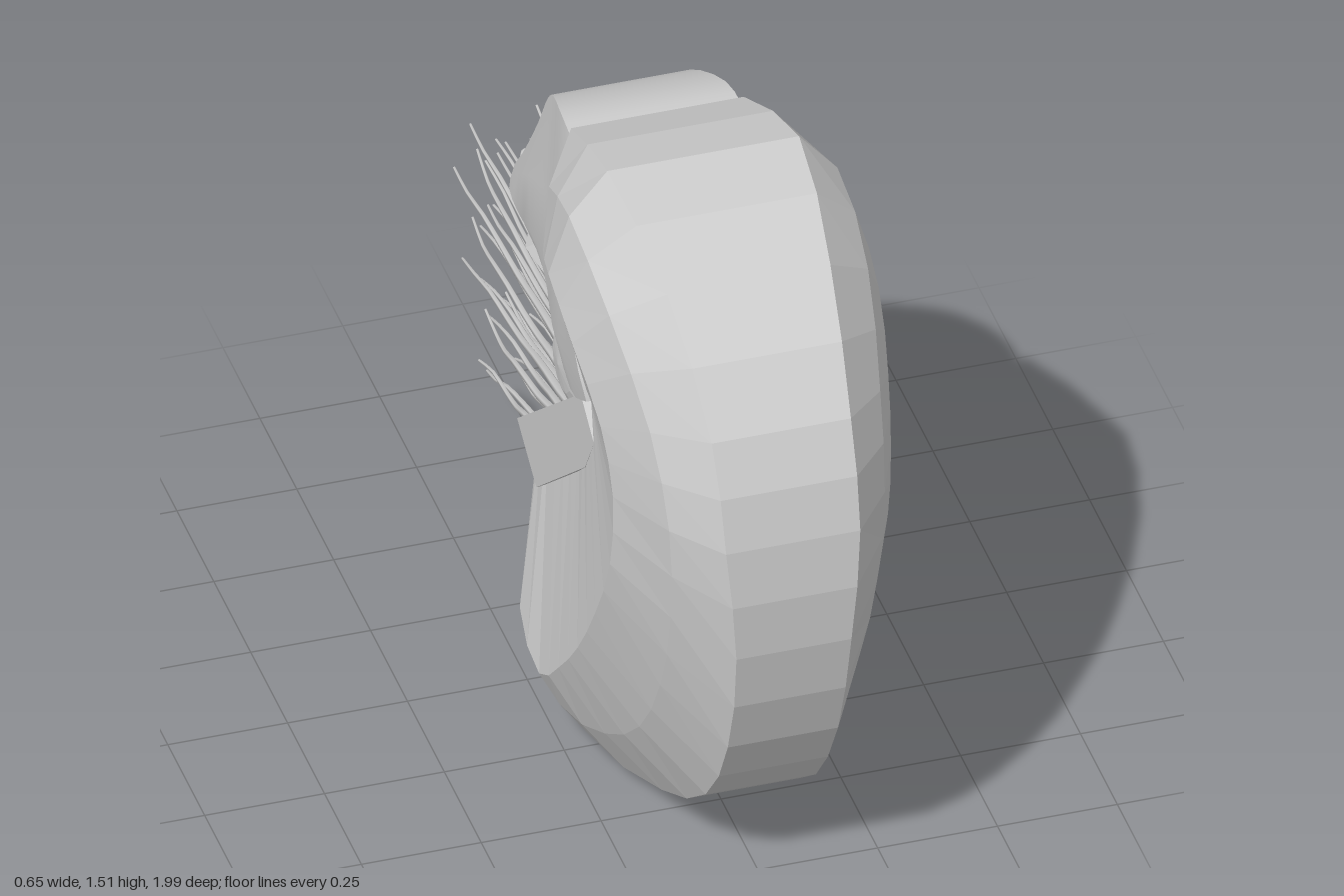
import * as THREE from 'three';
import { toCreasedNormals } from 'three/addons/utils/BufferGeometryUtils.js';
import { ConvexGeometry } from 'three/addons/geometries/ConvexGeometry.js';

const clay = new THREE.MeshStandardMaterial({ color: 0xcccccc, side: THREE.DoubleSide });
clay.name = 'paleGrey';

function add(group, name, geometry) {
  const mesh = new THREE.Mesh(geometry, clay);
  mesh.name = name;
  group.add(mesh);
  return mesh;
}

const flat = (g) => {
  const out = g.index ? g.toNonIndexed() : g;
  out.computeVertexNormals();
  return out;
};

const hull = (points) => flat(new ConvexGeometry(points.map((p) => new THREE.Vector3(...p))));

// Rows of [x, y, z] control points become a curve; uniform t keeps rows aligned
const sampleRow = (row, n) => {
  const curve = new THREE.CatmullRomCurve3(row.map((p) => new THREE.Vector3(...p)));
  return Array.from({ length: n + 1 }, (_, i) => curve.getPoint(i / n));
};

// Closed loft through rings of equal length, with both ends capped
function loft(rings) {
  const m = rings[0].length, last = rings.length - 1, index = [];
  for (let i = 0; i < last; i++) {
    for (let j = 0; j < m; j++) {
      const a = i * m + j, b = i * m + ((j + 1) % m);
      index.push(a, b, a + m, b, b + m, a + m);
    }
  }
  for (let k = 1; k < m - 1; k++) {
    index.push(0, k + 1, k, last * m, last * m + k, last * m + k + 1);
  }
  const g = new THREE.BufferGeometry().setFromPoints(rings.flat());
  g.setIndex(index);
  return g;
}

// Rings from +x rows, mirrored to -x
function mirroredRings(rows, n) {
  const lines = rows.map((r) => sampleRow(r, n));
  return lines[0].map((_, i) => {
    const half = lines.map((l) => l[i]);
    const other = half.map((p) => new THREE.Vector3(-p.x, p.y, p.z)).reverse();
    return [...half, ...other];
  });
}

// Coiled shell, from the upper lip round the front to the lower lip
function makeShell() {
  const inner = [[.25, 1.03, .38], [.25, 1.02, .39], [.25, 1.0, .4], [.24, .97, .4], [.23, .94, .37], [.21, .9, .31],
    [.2, .85, .24], [.19, .77, .16], [.19, .69, .06], [.19, .61, -.05], [.18, .53, -.14], [.13, .42, -.2]];
  const shoulder = [[.27, 1.18, .17], [.32, 1.28, .37], [.32, 1.22, .53], [.3, 1.1, .66], [.29, .96, .71], [.29, .78, .69],
    [.29, .59, .59], [.29, .42, .47], [.29, .28, .34], [.29, .175, .21], [.275, .21, .03], [.15, .26, -.21]];
  const bevel = [[.24, 1.3, .115], [.28, 1.42, .38], [.27, 1.34, .62], [.24, 1.17, .8], [.225, .98, .88], [.215, .75, .86],
    [.21, .52, .77], [.21, .32, .63], [.22, .165, .43], [.245, .085, .205], [.23, .12, -.03], [.13, .21, -.265]];
  const rim = [[.18, 1.4, .07], [.2, 1.515, .38], [.17, 1.42, .69], [.145, 1.2, .91], [.14, .98, .99], [.12, .72, .995],
    [.115, .45, .92], [.115, .23, .77], [.13, .07, .52], [.19, .005, .2], [.17, .045, -.1], [.11, .17, -.32]];
  return flat(loft(mirroredRings([inner, shoulder, bevel, rim], 22)));
}

function makeHood() {
  const bottom = [[.25, .97, .4], [.24, .9, .27], [.22, .91, .1], [.2, .95, -.03], [.17, .92, -.2], [.1, .82, -.5], [.03, .715, -.73]];
  const lower = [[.26, 1.03, .38], [.25, .99, .18], [.22, 1.0, .03], [.2, 1.0, -.1], [.18, .94, -.28], [.125, .83, -.53], [.04, .72, -.735]];
  const upper = [[.25, 1.18, .2], [.21, 1.17, .05], [.19, 1.15, -.06], [.18, 1.1, -.18], [.16, 1.0, -.34], [.105, .85, -.56], [.04, .73, -.74]];
  const crown = [[.18, 1.37, .1], [.175, 1.375, -.01], [.15, 1.32, -.15], [.13, 1.24, -.25], [.1, 1.08, -.4], [.06, .88, -.59], [.025, .74, -.74]];
  const rings = mirroredRings([bottom, lower, upper, crown], 16).reverse();
  return toCreasedNormals(loft(rings), 0.7);
}

// Tube that thins toward its tip
function taperedTube(points, radius) {
  const curve = new THREE.CatmullRomCurve3(points);
  const segments = 18, sides = 5;
  const g = new THREE.TubeGeometry(curve, segments, radius, sides);
  const pos = g.attributes.position, v = new THREE.Vector3();
  for (let i = 0; i <= segments; i++) {
    const c = curve.getPointAt(i / segments);
    for (let j = 0; j <= sides; j++) {
      const k = i * (sides + 1) + j;
      v.fromBufferAttribute(pos, k).lerp(c, 0.75 * i / segments);
      pos.setXYZ(k, v.x, v.y, v.z);
    }
  }
  return g;
}

export function createModel() {
  const model = new THREE.Group();
  model.name = 'shelledSeaCreature';

  add(model, 'shell', makeShell());
  add(model, 'hood', makeHood());

  // Small nub at the hood's point
  const nub = add(model, 'hoodTip', new THREE.CylinderGeometry(.011, .022, .08, 8));
  nub.position.set(0, .705, -.765);
  nub.rotation.x = -1.95;
  add(model, 'hoodTipBead', new THREE.SphereGeometry(.016, 8, 6)).position.set(0, .68, -.81);

  // Faceted funnel under the hood
  add(model, 'funnel', hull([[.09, .805, -.11], [-.09, .805, -.11], [.12, .785, -.2], [-.12, .785, -.2],
    [.08, .9, -.25], [-.08, .9, -.25], [.14, .79, -.37], [-.14, .79, -.37], [0, .87, -.42], [0, .705, -.73]]));

  // Raised plates along both edges of the opening, their rear ends slanting inward
  const outline = [[.31, .74], [-.02, .46], [-.15, .54], [.28, .9], [.37, .84]];
  for (const side of [1, -1]) {
    const corners = outline.flatMap(([z, y]) => [[side * .225, y, z], [side * .16, y, z]]);
    add(model, side > 0 ? 'leftPlate' : 'rightPlate', hull([...corners, [side * .17, .45, -.17]]));
  }

  // Eyes, joined by a round head
  for (const side of [1, -1]) {
    const eye = new THREE.SphereGeometry(.16, 12, 8);
    eye.rotateZ(Math.PI / 2);
    eye.scale(.65, 1, 1);
    add(model, side > 0 ? 'leftEye' : 'rightEye', flat(eye)).position.set(side * .095, .8, .04);
  }
  const head = add(model, 'head', flat(new THREE.CylinderGeometry(.155, .155, .19, 12)));
  head.position.set(0, .8, .04);
  head.rotation.z = Math.PI / 2;

  // Tentacles in rows fanning out of the opening
  let seed = 7;
  const rand = () => (seed = (seed * 16807) % 2147483647) / 2147483647;
  const tentacles = new THREE.Group();
  tentacles.name = 'tentacles';
  const rows = 6, columns = 7;
  for (let r = 0; r < rows; r++) {
    for (let c = 0; c < columns; c++) {
      const f = THREE.MathUtils.clamp((r + (rand() - .5) * .7) / (rows - 1), 0, 1);
      const x = (c - 3) / 3 * .095;
      const start = new THREE.Vector3(x, .7 - .3 * f, -.02 - .13 * f);
      const end = new THREE.Vector3(
        x + (rand() - .5) * .03,
        .66 - .52 * f + (rand() - .5) * .06,
        -.94 + .1 * f * f - (rand() - .5) * .12
      );
      const phase = rand() * 6.28;
      const points = Array.from({ length: 10 }, (_, i) => {
        const t = i / 9;
        const p = start.clone().lerp(end, t);
        p.x += Math.sin(t * 9 + phase) * .008 * t;
        p.y += Math.sin(t * 14 + phase) * .014 * t - Math.sin(t * Math.PI) * .02;
        return p;
      });
      add(tentacles, 'tentacle', taperedTube(points, .012));
    }
  }
  model.add(tentacles);

  return model;
}
